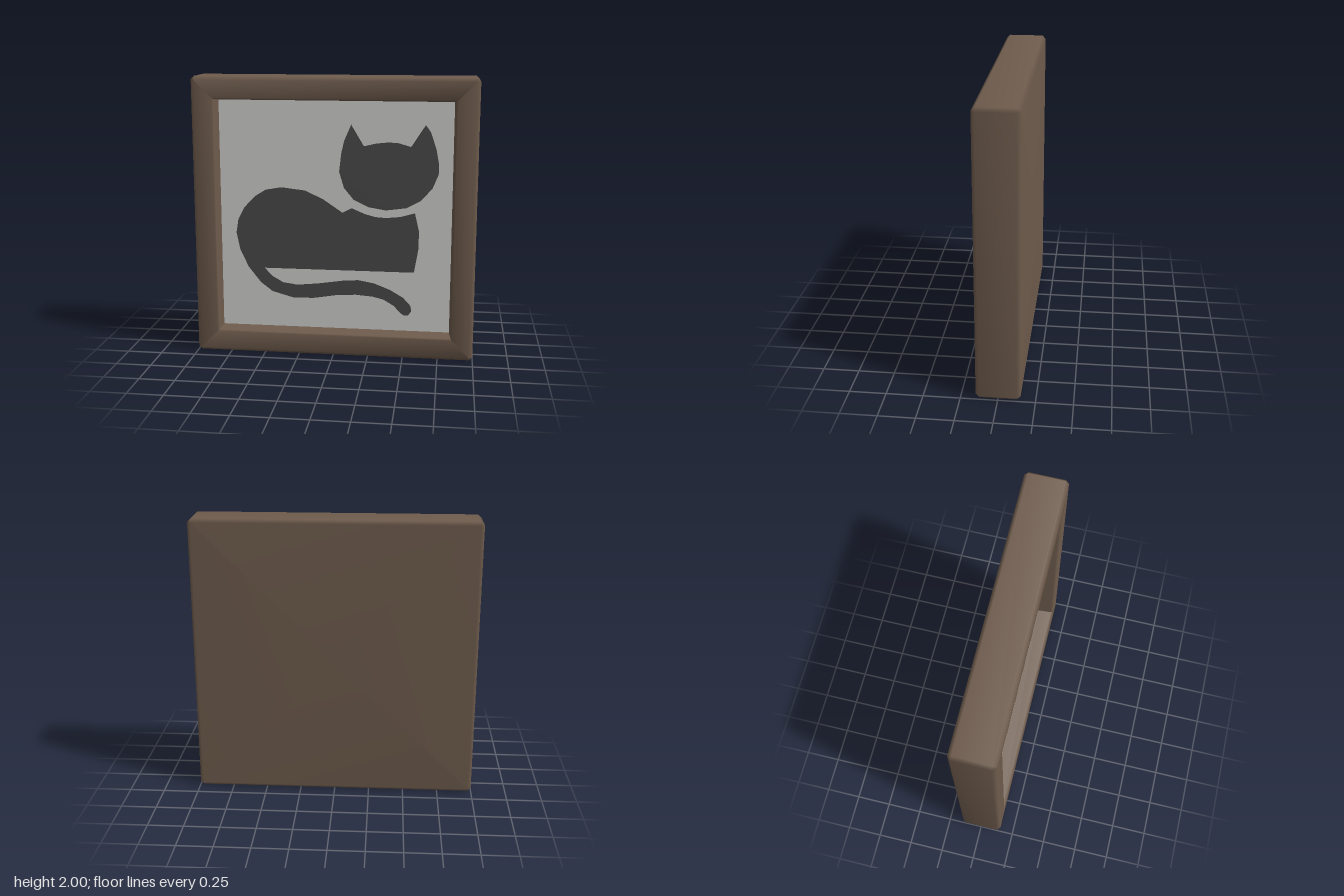
import * as THREE from 'three';

const wood = new THREE.MeshStandardMaterial({ name: 'brown wood', color: 0x6f5c4d });
const paper = new THREE.MeshStandardMaterial({ name: 'light grey paper', color: 0xd4d3d1 });
const ink = new THREE.MeshStandardMaterial({ name: 'charcoal ink', color: 0x4b4b4b });

// Square ring with cut corners, counter-clockwise from the front
function ring(half, cut, z) {
  const points = [];
  for (let k = 0; k < 4; k++) {
    const c = Math.round(Math.cos(k * Math.PI / 2)), s = Math.round(Math.sin(k * Math.PI / 2));
    for (const side of [-1, 1]) {
      const u = half, v = side * (half - cut);
      points.push(u * c - v * s, u * s + v * c, z);
    }
  }
  return points;
}

// Joins the rings from the back centre, around the outside, into the opening
function frameGeometry(profile) {
  const geometry = new THREE.BufferGeometry();
  const index = [];
  for (let i = 0; i < profile.length - 1; i++) {
    for (let j = 0; j < 8; j++) {
      const a = i * 8 + j, b = i * 8 + (j + 1) % 8;
      index.push(a, b, b + 8, a, b + 8, a + 8);
    }
  }
  geometry.setAttribute('position', new THREE.Float32BufferAttribute(profile.flatMap(p => ring(...p)), 3));
  geometry.setIndex(index);
  geometry.computeVertexNormals();
  return geometry;
}

function cutout(name, points, z) {
  const shape = new THREE.Shape(points.map(([x, y]) => new THREE.Vector2(x, y)));
  const mesh = new THREE.Mesh(new THREE.ShapeGeometry(shape), ink);
  mesh.name = name;
  mesh.position.z = z;
  return mesh;
}

export function createModel() {
  const model = new THREE.Group();
  model.name = 'framedCatPicture';
  const pictureZ = 0.03;

  // Frame with bevelled edges and closed back: half size, corner cut, z
  const frame = new THREE.Mesh(frameGeometry([
    [0, 0, -0.15], [0.975, 0, -0.15], [1, 0.025, -0.125], [1, 0.025, 0.125],
    [0.975, 0, 0.15], [0.85, 0, 0.15], [0.843, 0, 0.13], [0.83, 0, pictureZ],
  ]), wood);
  frame.name = 'frame';
  frame.position.y = 1;
  model.add(frame);

  // Picture sheet
  const sheet = new THREE.Mesh(new THREE.PlaneGeometry(1.66, 1.66), paper);
  sheet.name = 'pictureSheet';
  sheet.position.set(0, 1, pictureZ);
  model.add(sheet);

  // Cat head with two ears
  model.add(cutout('catHead', [
    [0.115, 1.665], [0.205, 1.515], [0.29, 1.535], [0.38, 1.545], [0.45, 1.54], [0.535, 1.515],
    [0.635, 1.67], [0.67, 1.62], [0.71, 1.505], [0.73, 1.4], [0.73, 1.325], [0.69, 1.225],
    [0.61, 1.135], [0.51, 1.08], [0.365, 1.06], [0.24, 1.08], [0.135, 1.13], [0.065, 1.215],
    [0.03, 1.33], [0.045, 1.46], [0.065, 1.55],
  ], pictureZ + 0.004));

  // Cat body running into the curled tail
  model.add(cutout('catBodyAndTail', [
    [0.055, 1.035], [0.12, 1.07], [0.215, 1.03], [0.29, 1.01], [0.365, 1.005], [0.465, 1.015],
    [0.57, 1.045], [0.6, 0.915], [0.6, 0.79], [0.57, 0.61], [-0.515, 0.61], [-0.46, 0.55],
    [-0.38, 0.505], [-0.275, 0.49], [-0.125, 0.505], [0.075, 0.535], [0.17, 0.54], [0.285, 0.52],
    [0.4, 0.475], [0.495, 0.42], [0.55, 0.36], [0.555, 0.32], [0.535, 0.29], [0.505, 0.285],
    [0.475, 0.305], [0.43, 0.355], [0.355, 0.4], [0.275, 0.42], [0.15, 0.43], [0, 0.42],
    [-0.15, 0.395], [-0.3, 0.39], [-0.46, 0.435], [-0.545, 0.5], [-0.635, 0.615], [-0.695, 0.745],
    [-0.72, 0.87], [-0.705, 0.965], [-0.66, 1.055], [-0.58, 1.14], [-0.5, 1.19], [-0.385, 1.21],
    [-0.215, 1.19], [-0.085, 1.13],
  ], pictureZ + 0.004));

  return model;
}
